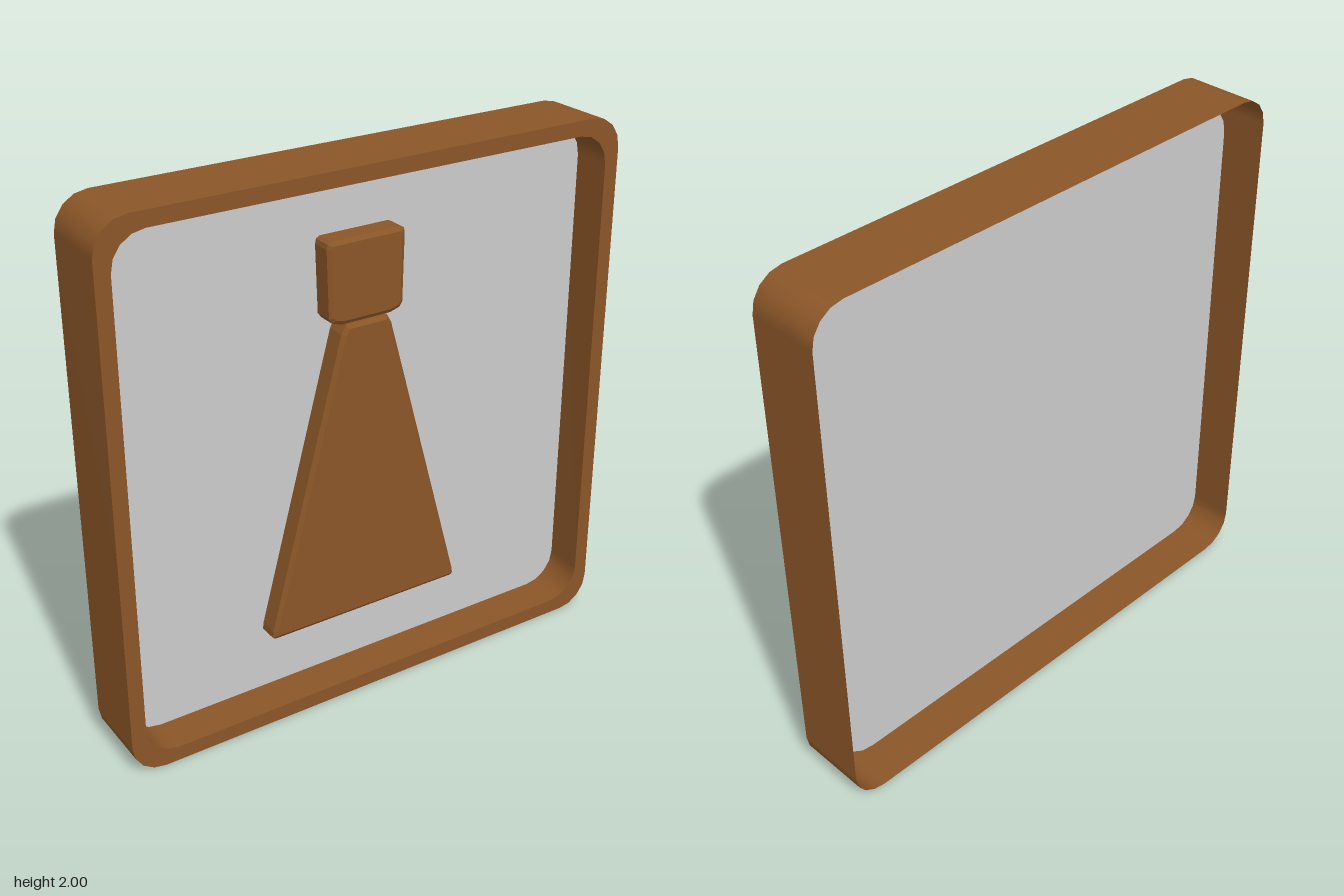
import * as THREE from 'three';

const BACK = -0.135, FRONT = 0.135, PANEL = -0.01, BEVEL = 0.01;

// Rounded square outline centred on (0, 1), counter-clockwise
function roundedSquare(half, radius, steps = 4) {
  const pts = [], c = half - radius;
  const corners = [[c, c], [-c, c], [-c, -c], [c, -c]];
  corners.forEach(([x, y], k) => {
    for (let i = 0; i <= steps; i++) {
      const a = (k + i / steps) * Math.PI / 2;
      pts.push(new THREE.Vector2(x + radius * Math.cos(a), 1 + y + radius * Math.sin(a)));
    }
  });
  return pts;
}

// Closed smooth band that sweeps an outline from z0 to z1
function band(pts, z0, z1) {
  const pos = [], idx = [], n = pts.length;
  pts.forEach((p) => pos.push(p.x, p.y, z0, p.x, p.y, z1));
  for (let i = 0; i < n; i++) {
    const a = 2 * i, b = 2 * ((i + 1) % n);
    idx.push(a, b, b + 1, a, b + 1, a + 1);
  }
  const g = new THREE.BufferGeometry();
  g.setAttribute('position', new THREE.Float32BufferAttribute(pos, 3));
  g.setIndex(idx);
  g.computeVertexNormals();
  return g;
}

// Raised plate with a bevelled front edge and a flat back
function plate(outline) {
  const shape = new THREE.Shape(outline.map(([x, y]) => new THREE.Vector2(x, y)));
  const g = new THREE.ExtrudeGeometry(shape, {
    depth: 0.07, bevelEnabled: true, bevelThickness: BEVEL,
    bevelSize: 0.015, bevelOffset: -0.015, bevelSegments: 1,
  });
  const p = g.attributes.position;
  for (let i = 0; i < p.count; i++) p.setZ(i, Math.max(0, p.getZ(i)));
  g.computeVertexNormals();
  g.translate(0, 0, PANEL + 0.001);
  return g;
}

export function createModel() {
  const model = new THREE.Group();
  const brown = new THREE.MeshStandardMaterial({ color: 0x8b5628, side: THREE.DoubleSide });
  const grey = new THREE.MeshStandardMaterial({ color: 0xcccccc, side: THREE.DoubleSide });
  const add = (parent, name, geometry, material) => {
    const mesh = new THREE.Mesh(geometry, material);
    mesh.name = name;
    parent.add(mesh);
  };

  // Frame: outer wall open at the back, front rim, inner wall down to the panel
  const outer = roundedSquare(1, 0.12), inner = roundedSquare(0.945, 0.12);
  const frame = new THREE.Group();
  frame.name = 'frame';
  add(frame, 'outerWall', band(outer, BACK, FRONT), brown);
  add(frame, 'innerWall', band([...inner].reverse(), PANEL, FRONT), brown);
  const rim = new THREE.Shape(outer);
  rim.holes.push(new THREE.Path(inner));
  add(frame, 'frontRim', new THREE.ShapeGeometry(rim).translate(0, 0, FRONT), brown);
  model.add(frame);

  // Recessed panel
  add(model, 'panel', new THREE.ShapeGeometry(new THREE.Shape(inner)).translate(0, 0, PANEL), grey);

  // Raised figure: tapered body with a square head
  const figure = new THREE.Group();
  figure.name = 'figure';
  add(figure, 'body', plate([
    [-0.39, 0.295], [0.38, 0.295], [0.388, 0.302], [0.385, 0.325], [0.095, 1.405], [0.077, 1.437],
    [-0.087, 1.437], [-0.105, 1.405], [-0.398, 0.325], [-0.4, 0.302],
  ]), brown);
  add(figure, 'head', plate([
    [-0.1, 1.441], [0.09, 1.441], [0.128, 1.452], [0.14, 1.47], [0.146, 1.715], [0.142, 1.732],
    [0.128, 1.74], [-0.142, 1.74], [-0.156, 1.732], [-0.16, 1.715], [-0.153, 1.47], [-0.14, 1.452],
  ]), brown);
  model.add(figure);

  return model;
}
